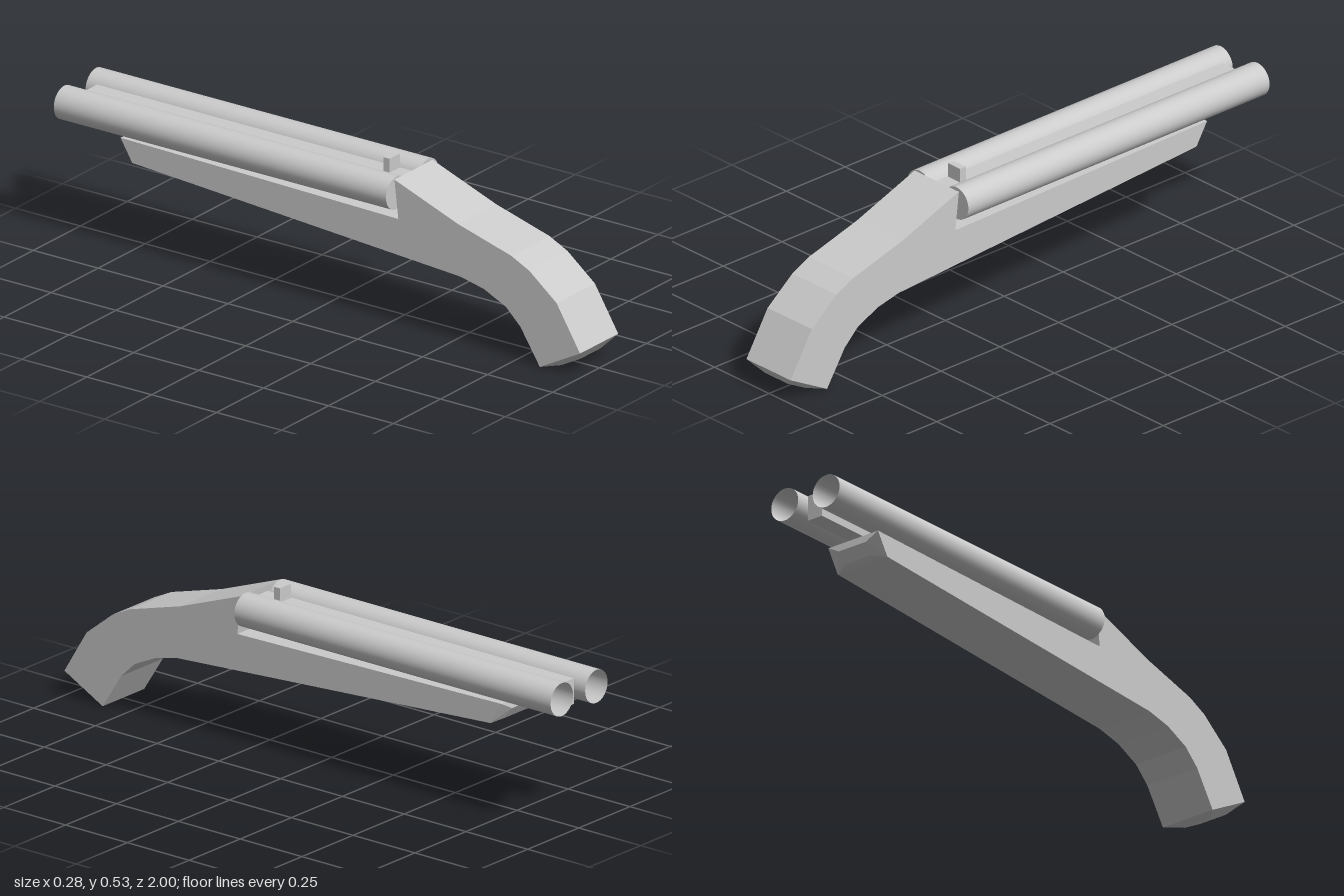
import * as THREE from 'three';
import { ConvexGeometry } from 'three/addons/geometries/ConvexGeometry.js';

export function createModel() {
  const model = new THREE.Group();
  const flat = new THREE.MeshStandardMaterial({ color: 0xcccccc, flatShading: true });
  const smooth = new THREE.MeshStandardMaterial({ color: 0xcccccc, side: THREE.DoubleSide });

  const add = (name, geometry, material, x = 0, y = 0, z = 0, parent = model) => {
    const mesh = new THREE.Mesh(geometry, material);
    mesh.name = name;
    mesh.position.set(x, y, z);
    parent.add(mesh);
    return mesh;
  };

  // Stock: curved grip and long fore-end, a side profile [z, y] extruded across x
  const width = 0.203, midX = -0.002;
  const buttTop = [1.0, 0.084], buttBottom = [0.845, 0.002];
  const tipTop = [-0.77, 0.388], tipBottom = [-0.725, 0.314];
  const profile = [
    buttTop, [0.91, 0.232], [0.805, 0.316], [0.735, 0.35], [0.53, 0.408], [0.285, 0.499],
    [0.3, 0.37], tipTop, tipBottom,
    [0.54, 0.233], [0.63, 0.213], [0.715, 0.173], [0.77, 0.12], buttBottom,
  ];
  const shape = new THREE.Shape(profile.map(([z, y]) => new THREE.Vector2(z, y)));
  const stock = new THREE.ExtrudeGeometry(shape, { depth: width, bevelEnabled: false });
  stock.translate(0, 0, -width / 2).rotateY(-Math.PI / 2);
  add('stock', stock, flat, midX);

  // Chamfered ends: a wide edge rectangle tapering to a smaller one
  const chamfer = (name, outer, inner, innerWidth) => {
    const corners = [];
    for (const s of [-0.5, 0.5]) {
      for (const [z, y] of outer) corners.push(new THREE.Vector3(s * width, y, z));
      for (const [z, y] of inner) corners.push(new THREE.Vector3(s * innerWidth, y, z));
    }
    add(name, new ConvexGeometry(corners), flat, midX);
  };
  chamfer('buttCap', [buttTop, buttBottom], [[0.967, 0.043], [0.892, 0.003]], 0.103);
  chamfer('foreEndCap', [tipTop, tipBottom], [[-0.774, 0.362], [-0.748, 0.325]], 0.11);

  // Twin barrels: open at the muzzle, closed at the breech
  const radius = 0.055, length = 1.28;
  for (const [name, x, y] of [['rightBarrel', -0.086, 0.448], ['leftBarrel', 0.083, 0.452]]) {
    const barrel = new THREE.Group();
    barrel.name = name;
    barrel.position.set(x, y, 0);
    model.add(barrel);
    const tube = new THREE.CylinderGeometry(radius, radius, length, 32, 1, true).rotateX(Math.PI / 2);
    add(name + 'Tube', tube, smooth, 0, 0, -0.36, barrel);
    add(name + 'Breech', new THREE.CircleGeometry(radius, 32), smooth, 0, 0, 0.28, barrel);
  }

  // Rib between the barrels and the small sight on it
  add('rib', new THREE.BoxGeometry(0.058, 0.085, 1.24), flat, -0.002, 0.4375, -0.335);
  add('sight', new THREE.BoxGeometry(0.055, 0.06, 0.024), flat, -0.001, 0.497, 0.2);

  return model;
}
